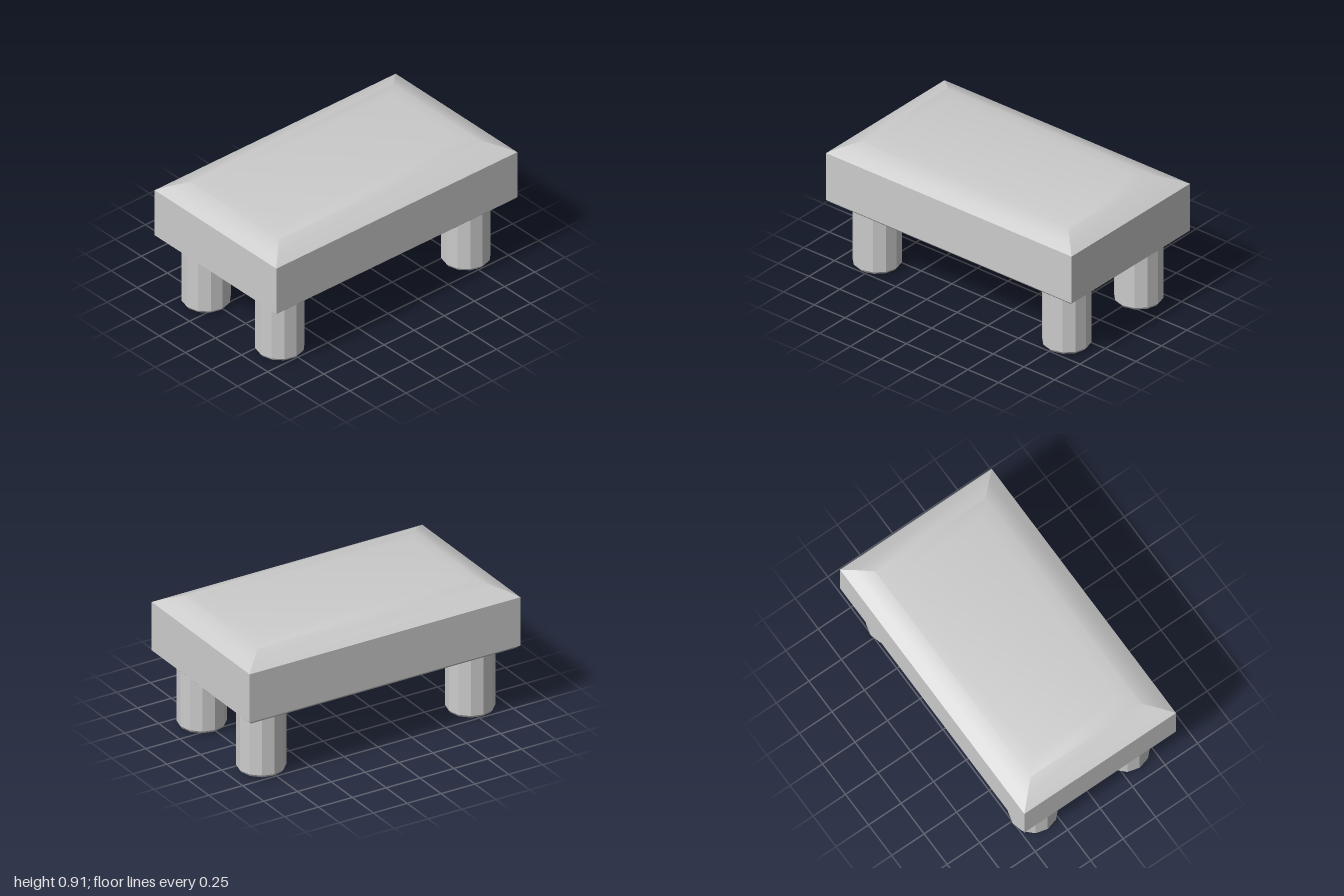
import * as THREE from 'three';
import { toCreasedNormals } from 'three/addons/utils/BufferGeometryUtils.js';

const HALF_WIDTH = 0.583, HALF_DEPTH = 1;

// Stack of rectangular rings [inset, y], bottom to top, capped at both ends
function rectLoft(rings) {
  const positions = [], index = [];
  for (const [inset, y] of rings) {
    const x = HALF_WIDTH - inset, z = HALF_DEPTH - inset;
    positions.push(x, y, z, x, y, -z, -x, y, -z, -x, y, z);
  }
  const quad = (a, b, c, d) => index.push(a, b, c, a, c, d);
  for (let r = 0; r < rings.length - 1; r++) {
    for (let i = 0; i < 4; i++) {
      const a = r * 4 + i, b = r * 4 + (i + 1) % 4;
      quad(a, b, b + 4, a + 4);
    }
  }
  const t = (rings.length - 1) * 4;
  quad(0, 3, 2, 1);
  quad(t, t + 1, t + 2, t + 3);
  const geometry = new THREE.BufferGeometry();
  geometry.setAttribute('position', new THREE.Float32BufferAttribute(positions, 3));
  geometry.setIndex(index);
  return toCreasedNormals(geometry, 0.5);
}

export function createModel() {
  const group = new THREE.Group();
  const material = new THREE.MeshStandardMaterial({ color: 0xcccccc });

  // Cushion block: chamfered underside, straight sides, softly domed top
  const seat = new THREE.Mesh(rectLoft([
    [0.021, 0.46], [0, 0.481], [0, 0.822],
    [0.063, 0.857], [0.157, 0.895], [0.262, 0.913],
  ]), material);
  seat.name = 'seat';
  group.add(seat);

  // Twelve-sided legs with a rounded foot, sunk slightly into the seat
  const profile = [[0, 0], [0.128, 0], [0.146, 0.008], [0.158, 0.025], [0.158, 0.47], [0, 0.47]]
    .map(([r, y]) => new THREE.Vector2(r, y));
  const legGeometry = toCreasedNormals(new THREE.LatheGeometry(profile, 12), 0.5);
  for (const [zName, z] of [['front', 0.772], ['back', -0.772]]) {
    for (const [xName, x] of [['Left', 0.354], ['Right', -0.354]]) {
      const leg = new THREE.Mesh(legGeometry, material);
      leg.name = `${zName}${xName}Leg`;
      leg.position.set(x, 0, z);
      group.add(leg);
    }
  }
  return group;
}
